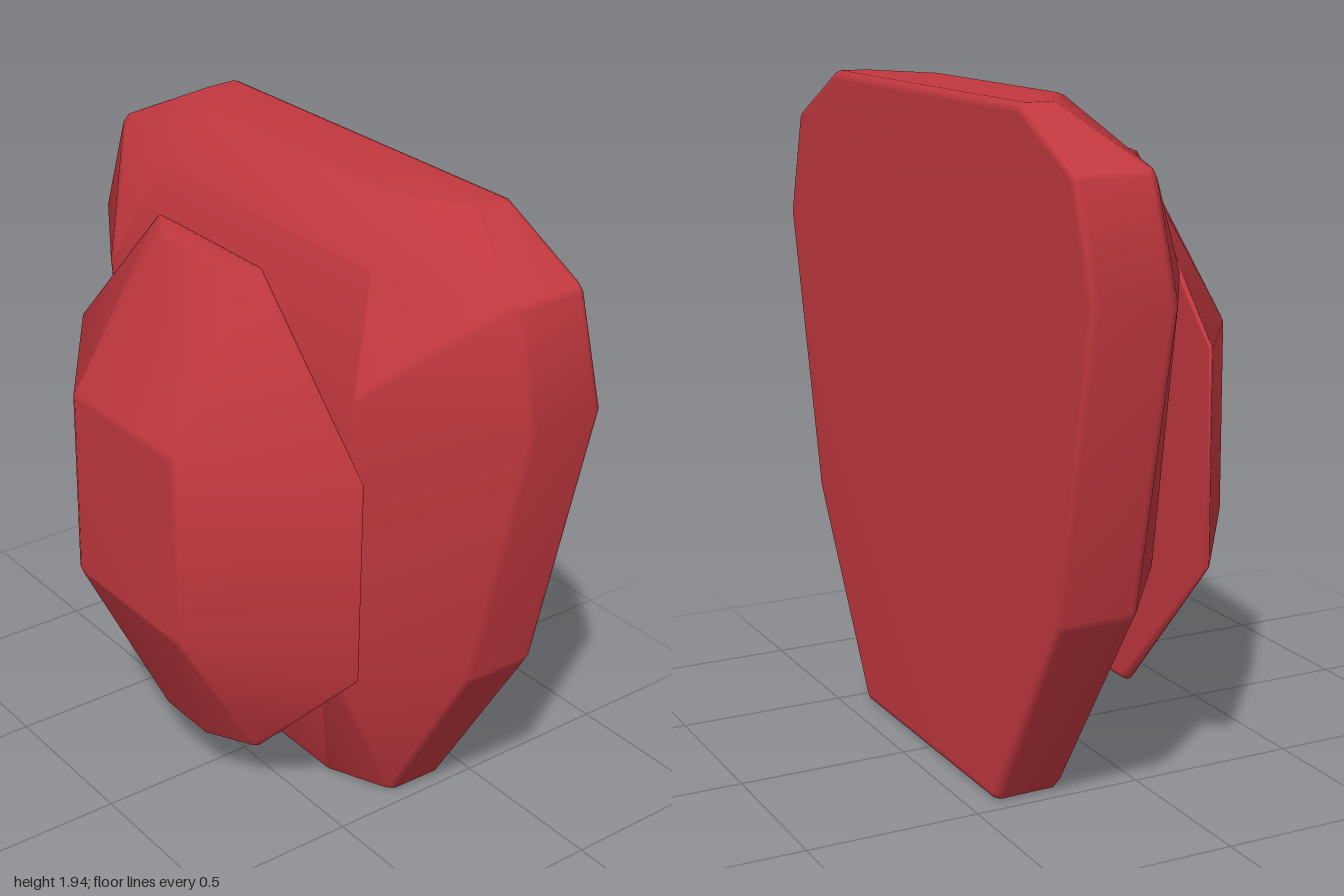
import * as THREE from 'three';
import { ConvexGeometry } from 'three/addons/geometries/ConvexGeometry.js';
import { mergeVertices } from 'three/addons/utils/BufferGeometryUtils.js';

// Directions used to round off each corner
const ball = mergeVertices(new THREE.OctahedronGeometry(1, 1).deleteAttribute('normal').deleteAttribute('uv'));

// Mirrored convex block with softened edges; each corner is [x, y, z, radius]
function softHull(corners, cy, cz) {
  const points = [];
  const dir = new THREE.Vector3();
  for (const [x, y, z, r] of corners) {
    for (const side of [-1, 1]) {
      const centre = new THREE.Vector3(side * (x - r), y - r * Math.sign(y - cy), z - r * Math.sign(z - cz));
      for (let i = 0; i < ball.attributes.position.count; i++) {
        dir.fromBufferAttribute(ball.attributes.position, i);
        points.push(centre.clone().addScaledVector(dir, r));
      }
    }
  }
  // Area-weighted normals keep the facets flat and the bevels smooth
  let geometry = new ConvexGeometry(points);
  geometry.deleteAttribute('normal');
  geometry = mergeVertices(geometry, 1e-4);
  geometry.computeVertexNormals();
  return geometry;
}

export function createModel() {
  const group = new THREE.Group();
  group.name = 'armorPlates';
  const red = new THREE.MeshStandardMaterial({ color: 0xc2383f });
  red.name = 'red';

  // Large backing block: flat back, side shoulders, faceted front
  const outline = [[0.46, 0], [0.81, 0.59], [1, 1.5], [0.91, 1.8], [0.63, 1.94]];
  const shoulderZ = [-0.27, -0.2, -0.17, -0.24, -0.35];
  const front = [[0.28, 0, -0.13], [0.48, 0.59, 0.07], [0.61, 1.5, 0.07], [0.52, 1.8, -0.05], [0.41, 1.94, -0.22]];
  const bodyCorners = [];
  outline.forEach(([x, y], i) => {
    bodyCorners.push([x, y, -0.425, 0.025], [x, y, shoulderZ[i], 0.03]);
    bodyCorners.push([...front[i], 0.03]);
  });
  const body = new THREE.Mesh(softHull(bodyCorners, 1, -0.2), red);
  body.name = 'backBlock';
  group.add(body);

  // Floating front plate: thin octagonal rim rising to a narrow ridge
  const plateCorners = [];
  for (const s of [-1, 1]) {
    const mid = 0.97 + s * 0.31;
    const end = 0.97 + s * 0.775;
    plateCorners.push([0.685, mid, 0.107, 0.006], [0.25, end, 0.105, 0.02]);
    plateCorners.push([0.27, mid, 0.425, 0.03], [0.13, end, 0.225, 0.03]);
  }
  const plate = new THREE.Mesh(softHull(plateCorners, 0.97, 0.2), red);
  plate.name = 'frontPlate';
  group.add(plate);

  return group;
}
